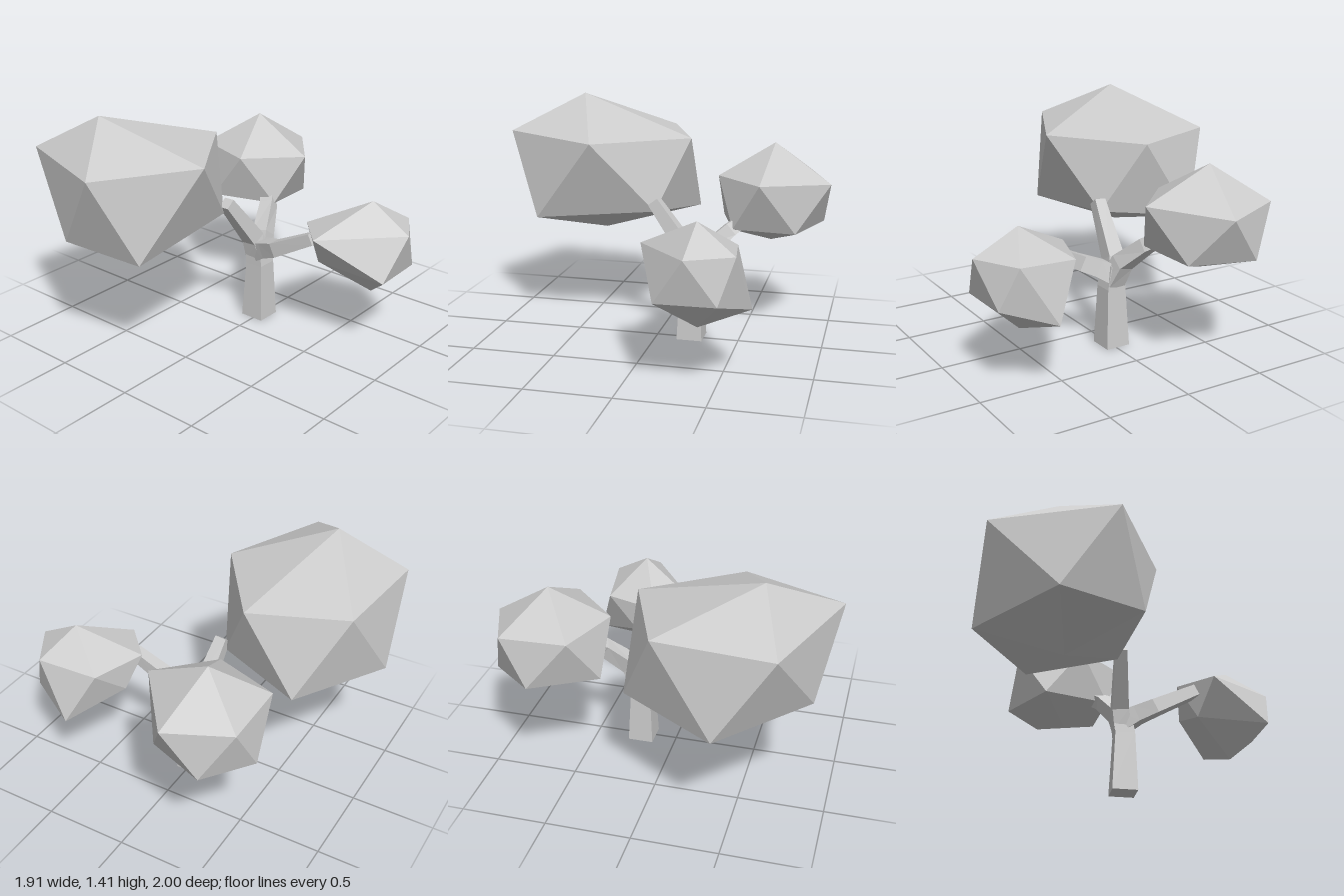
import * as THREE from 'three';

const material = new THREE.MeshStandardMaterial({ color: 0xcccccc, flatShading: true });

function facetedMesh(name, triangles) {
  const geometry = new THREE.BufferGeometry().setFromPoints(triangles);
  geometry.computeVertexNormals();
  const mesh = new THREE.Mesh(geometry, material);
  mesh.name = name;
  return mesh;
}

// Irregular icosahedron: apex, two staggered rings of five, bottom point
function foliage(name, top, upper, lower, bottom) {
  const vec = (p) => new THREE.Vector3(...p);
  const t = vec(top), b = vec(bottom), U = upper.map(vec), L = lower.map(vec);
  const tris = [];
  for (let i = 0; i < 5; i++) {
    const j = (i + 1) % 5;
    tris.push(t, U[i], U[j], U[i], L[i], U[j], U[j], L[i], L[j], b, L[j], L[i]);
  }
  return facetedMesh(name, tris);
}

// Four-sided limb lofted through [x, y, z, halfWidth] stations
function limb(name, stations, side) {
  const pts = stations.map((s) => new THREE.Vector3(s[0], s[1], s[2]));
  const rings = pts.map((p, i) => {
    const dir = pts[Math.min(i + 1, pts.length - 1)].clone().sub(pts[Math.max(i - 1, 0)]).normalize();
    const u = side.clone().cross(dir).normalize();
    const v = dir.clone().cross(u);
    const h = stations[i][3];
    return [[1, 1], [-1, 1], [-1, -1], [1, -1]].map(([a, b]) =>
      p.clone().addScaledVector(u, a * h).addScaledVector(v, b * h));
  });
  const tris = [];
  for (let r = 0; r < rings.length - 1; r++) {
    const A = rings[r], B = rings[r + 1];
    for (let i = 0; i < 4; i++) {
      const j = (i + 1) % 4;
      tris.push(A[i], A[j], B[j], A[i], B[j], B[i]);
    }
  }
  const s = rings[0], e = rings[rings.length - 1];
  tris.push(s[0], s[2], s[1], s[0], s[3], s[2], e[0], e[1], e[2], e[0], e[2], e[3]);
  return facetedMesh(name, tris);
}

export function createModel() {
  const tree = new THREE.Group();
  tree.name = 'tree';
  const X = new THREE.Vector3(1, 0, 0), Z = new THREE.Vector3(0, 0, 1);

  // Trunk and its three branches
  tree.add(
    limb('trunk', [[-0.012, 0, -0.21, 0.077], [-0.01, 0.365, -0.21, 0.06], [-0.03, 0.5, -0.21, 0.055]], X),
    limb('frontBranch', [[-0.02, 0.4, -0.21, 0.055], [-0.04, 0.53, -0.18, 0.05], [-0.07, 0.82, 0.04, 0.035]], X),
    limb('backBranch', [[-0.01, 0.4, -0.22, 0.055], [-0.04, 0.53, -0.28, 0.05], [-0.11, 0.66, -0.42, 0.042], [-0.2, 0.74, -0.53, 0.035]], X),
    limb('sideBranch', [[-0.01, 0.45, -0.21, 0.06], [0.07, 0.49, -0.18, 0.05], [0.17, 0.53, -0.145, 0.045], [0.43, 0.665, -0.16, 0.035]], Z),
  );

  // Foliage clumps
  tree.add(
    foliage('frontFoliage', [-0.52, 1.41, 0.61],
      [[0.08, 1.175, 0.4], [-0.3, 1.175, -0.14], [-0.86, 1.18, 0.08], [-0.92, 1.18, 0.75], [-0.22, 1.195, 1]],
      [[-0.09, 0.75, 0.04], [-0.62, 0.69, -0.14], [-0.96, 0.68, 0.43], [-0.53, 0.735, 0.9], [-0.06, 0.68, 0.79]],
      [-0.45, 0.55, 0.45]),
    foliage('backFoliage', [-0.37, 1.16, -0.65],
      [[0.03, 0.96, -0.61], [-0.28, 0.93, -1], [-0.65, 0.95, -0.85], [-0.65, 0.96, -0.45], [-0.26, 0.96, -0.32]],
      [[-0.12, 0.65, -0.81], [-0.48, 0.66, -0.95], [-0.69, 0.67, -0.69], [-0.48, 0.67, -0.32], [-0.08, 0.67, -0.44]],
      [-0.33, 0.56, -0.64]),
    foliage('sideFoliage', [0.69, 0.9, -0.38],
      [[0.95, 0.755, -0.36], [0.8, 0.75, -0.61], [0.44, 0.72, -0.56], [0.33, 0.72, -0.23], [0.52, 0.72, -0.03]],
      [[0.89, 0.5, -0.53], [0.6, 0.41, -0.67], [0.37, 0.54, -0.36], [0.45, 0.51, -0.19], [0.9, 0.5, -0.19]],
      [0.7, 0.32, -0.39]),
  );
  return tree;
}
